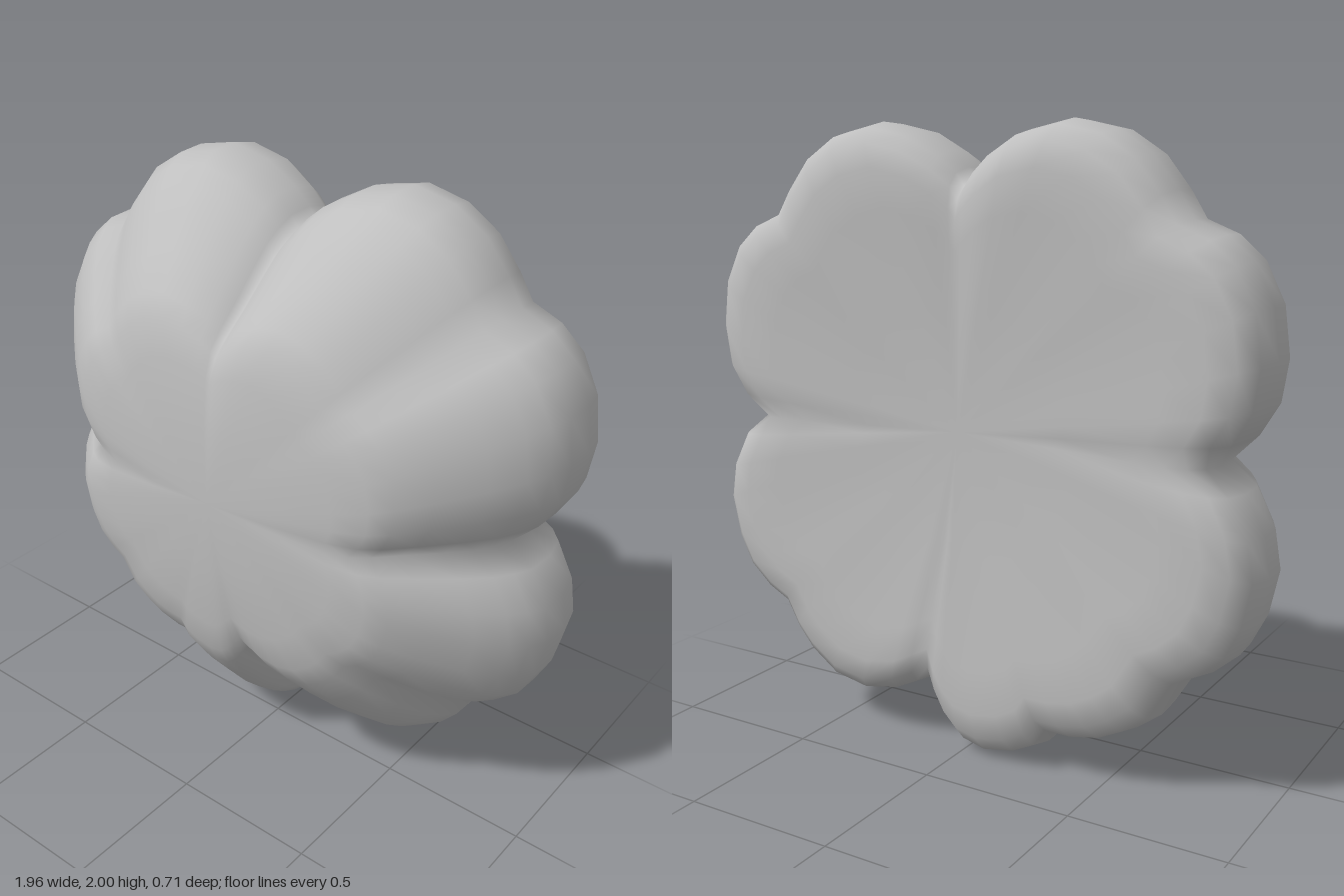
import * as THREE from 'three';

// Lobed outline, clockwise from the top notch: right-hand upper and side lobes (mirrored for the left)
const SIDE = [
  [0, 1.82], [0.03, 1.86], [0.09, 1.91], [0.2, 1.97], [0.34, 2.0], [0.48, 1.97], [0.59, 1.9], [0.67, 1.8],
  [0.72, 1.72], [0.82, 1.68], [0.9, 1.61], [0.96, 1.49], [0.98, 1.34], [0.96, 1.21], [0.9, 1.11],
  [0.82, 1.03], [0.9, 0.96], [0.96, 0.84], [0.98, 0.72], [0.95, 0.58], [0.9, 0.48], [0.82, 0.41], [0.74, 0.37],
];
// Lower lobes, which are not symmetric
const BOTTOM = [
  [0.69, 0.28], [0.63, 0.21], [0.53, 0.14], [0.4, 0.115], [0.27, 0.14], [0.19, 0.18], [0.13, 0.21],
  [0.09, 0.14], [0.05, 0.07], [0, 0.02], [-0.08, 0], [-0.19, 0.02], [-0.27, 0.06], [-0.31, 0.12],
  [-0.4, 0.12], [-0.5, 0.14], [-0.58, 0.18], [-0.66, 0.24],
];
const CENTRE_Y = 1.06;

// Cross-sections from back to front: [z at lobes, z at notches, scale, rounding of the outline]
const RINGS = [
  [-0.32, -0.31, 0.4, 0.2], [-0.345, -0.315, 0.72, 0.05], [-0.352, -0.315, 0.85, 0], [-0.335, -0.3, 0.93, 0],
  [-0.29, -0.26, 0.98, 0], [-0.2, -0.19, 1, 0], [-0.1, -0.1, 0.995, 0], [-0.04, -0.04, 0.965, 0],
  [0.02, 0.02, 0.925, 0], [0.1, 0.09, 0.85, 0], [0.2, 0.18, 0.74, 0.05], [0.27, 0.25, 0.655, 0.15],
  [0.305, 0.295, 0.59, 0.2], [0.33, 0.325, 0.48, 0.35], [0.347, 0.345, 0.26, 0.6],
];

function lobedBody() {
  const mirrored = SIDE.slice(1).reverse().map(([x, y]) => [-x, y]);
  const outline = [...SIDE, ...BOTTOM, ...mirrored];
  const n = outline.length;
  const pos = [];
  const index = [];

  for (const [zLobe, zNotch, scale, round] of RINGS) {
    for (const [x, y] of outline) {
      const dy = y - CENTRE_Y;
      const r = Math.hypot(x, dy);
      const lobe = THREE.MathUtils.smoothstep(r, 0.78, 0.95);
      const k = (THREE.MathUtils.lerp(r, 0.95, round) / r) * scale;
      pos.push(x * k, CENTRE_Y + dy * k, THREE.MathUtils.lerp(zNotch, zLobe, lobe));
    }
  }
  const back = pos.length / 3;
  pos.push(0, CENTRE_Y, -0.31, 0, CENTRE_Y, 0.354);

  for (let i = 0; i < n; i++) {
    const j = (i + 1) % n;
    const last = (RINGS.length - 1) * n;
    for (let k = 0; k < last; k += n) {
      index.push(k + i, k + n + i, k + j, k + j, k + n + i, k + n + j);
    }
    index.push(back, i, j, back + 1, last + j, last + i);
  }

  const geometry = new THREE.BufferGeometry();
  geometry.setAttribute('position', new THREE.Float32BufferAttribute(pos, 3));
  geometry.setIndex(index);
  geometry.computeVertexNormals();
  return geometry;
}

export function createModel() {
  const group = new THREE.Group();
  group.name = 'lobedCushion';
  const grey = new THREE.MeshStandardMaterial({ color: 0xbfbfbf });
  grey.name = 'plain grey';
  const body = new THREE.Mesh(lobedBody(), grey);
  body.name = 'lobedBody';
  group.add(body);
  return group;
}
